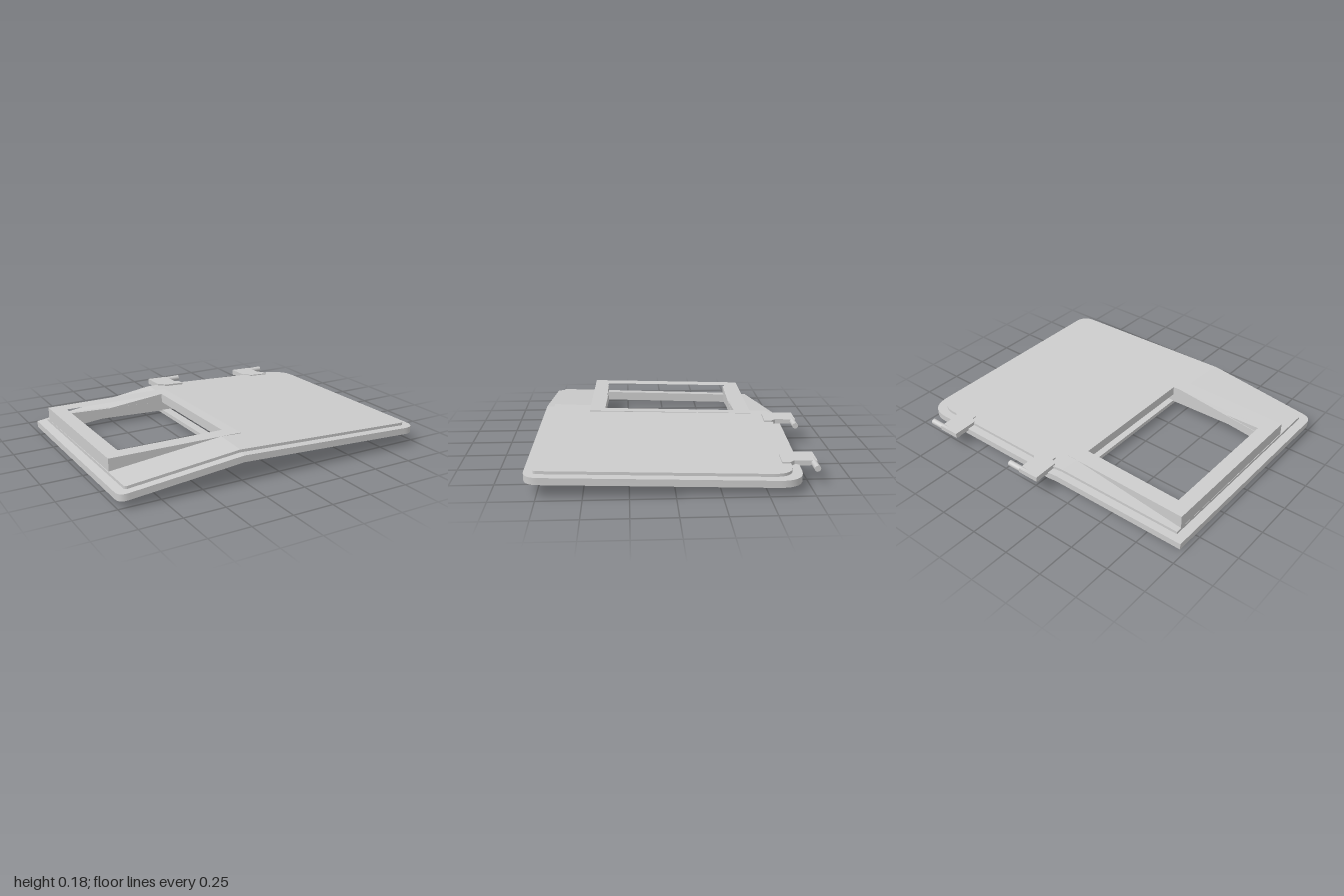
import * as THREE from 'three';
import { toCreasedNormals } from 'three/addons/utils/BufferGeometryUtils.js';

const TILT = 0.025; // the whole lid drops slightly toward the back

// Underside of the folded panel
const under = (x, z) => {
  const d = x + 0.197 + 0.0795 * z;
  return 0.11 + TILT * z + (d < 0 ? 0.108 : -0.037) * d;
};
const plus = (f, d) => (x, z) => f(x, z) + d;
const panelTop = plus(under, 0.057);
// Top of the level window frame and lower edge of the ribs
const frameTop = (x, z) => 0.167 + TILT * z;
const ribBottom = (x, z) => 0.0435 - 0.035 * x + TILT * z;

// Closed outline from [x, z, cornerRadius] points
function outline(points, path) {
  const n = points.length;
  const v = points.map(([x, z]) => new THREE.Vector2(x, -z));
  points.forEach(([, , r = 0], i) => {
    const p = v[i];
    const step = (q) => p.clone().add(q.clone().sub(p).setLength(r));
    const a = r ? step(v[(i + n - 1) % n]) : p;
    if (i === 0) path.moveTo(a.x, a.y);
    else path.lineTo(a.x, a.y);
    if (r) {
      const b = step(v[(i + 1) % n]);
      path.quadraticCurveTo(p.x, p.y, b.x, b.y);
    }
  });
  path.closePath();
  return path;
}

export function createModel() {
  const group = new THREE.Group();
  const grey = new THREE.MeshStandardMaterial({ color: 0xcccccc });
  grey.name = 'light grey';

  function add(name, geometry, parent = group) {
    const mesh = new THREE.Mesh(geometry, grey);
    mesh.name = name;
    parent.add(mesh);
    return mesh;
  }

  // Flat outline stretched between two height rules
  function slab(name, points, bottom, top, hole) {
    const shape = outline(points, new THREE.Shape());
    if (hole) shape.holes.push(outline(hole, new THREE.Path()));
    const g = new THREE.ExtrudeGeometry(shape, { depth: 1, bevelEnabled: false, curveSegments: 8 });
    g.rotateX(-Math.PI / 2);
    const p = g.attributes.position;
    for (let i = 0; i < p.count; i++) {
      const x = p.getX(i), z = p.getZ(i), t = p.getY(i);
      p.setY(i, t > 0.5 ? top(x, z) : bottom(x, z));
    }
    return add(name, toCreasedNormals(g, 0.5));
  }

  // Window corners, and where the fold crosses the window
  const [backRight, backLeft, frontLeft, frontRight] =
    [[-0.825, -0.465], [-0.155, -0.45], [-0.175, 0.4], [-0.84, 0.39]];
  const foldBack = [-0.1612, -0.4502], foldFront = [-0.2287, 0.3992];
  const rightNotch = [foldBack, backRight, frontRight, foldFront];
  const leftNotch = [foldFront, frontLeft, backLeft, foldBack];

  // Rim, in two halves that meet at the fold
  slab('rimRight', [[-0.97, -0.645], [-0.1398, -0.72], ...rightNotch, [-0.2598, 0.79], [-1, 0.77, 0.06]],
    under, plus(under, 0.04));
  slab('rimLeft', [[-0.1398, -0.72], [-0.08, -0.725], [1, -0.695, 0.15], [0.965, 0.82, 0.09],
    [-0.2598, 0.79], ...leftNotch], under, plus(under, 0.04));

  // Raised inner panel, split at the same fold
  const panelBottom = plus(under, 0.01);
  slab('panelRight', [[-0.915, -0.6], [-0.1437, -0.671], ...rightNotch, [-0.2556, 0.737], [-0.945, 0.72, 0.02]],
    panelBottom, panelTop);
  slab('panelLeft', [[-0.1437, -0.671], [-0.08, -0.677], [0.945, -0.645, 0.12], [0.913, 0.765, 0.02],
    [-0.2556, 0.737], ...leftNotch], panelBottom, panelTop);

  // Level frame around the window opening
  slab('windowFrame', [[-0.915, -0.563], [-0.085, -0.553], [-0.107, 0.5], [-0.935, 0.482]],
    plus(under, 0.015), frameTop, [backRight, backLeft, frontLeft, frontRight]);

  // Ribs below the panel, along the front and back of the window
  for (const [name, z] of [['frontRib', 0.404], ['backRib', -0.483]]) {
    slab(name, [[-0.9, z - 0.012], [0.54, z + 0.017], [0.54, z + 0.047], [-0.9, z + 0.018]],
      ribBottom, plus(ribBottom, 0.065));
  }
  // Cross bar hanging between the ribs
  slab('crossBar', [[-0.15, -0.54], [-0.09, -0.54], [-0.115, 0.5], [-0.175, 0.5]],
    plus(ribBottom, -0.02), plus(ribBottom, 0.005));

  // Two hinges on the back edge
  for (const [name, x, z] of [['innerHinge', 0, 0], ['outerHinge', 0.7, 0.015]]) {
    const hinge = new THREE.Group();
    hinge.name = name;
    const arm = slab('hingeArm', [[-0.08, -0.82], [0.06, -0.82], [0.06, -0.69], [0.09, -0.66],
      [0.09, -0.615], [-0.045, -0.62], [-0.045, -0.645], [-0.08, -0.66]],
      () => 0.122, (px, pz) => 0.157 - 0.03 * px + 0.03 * (pz + 0.62));
    hinge.add(arm);
    const pin = add('hingePin', new THREE.CylinderGeometry(0.018, 0.018, 0.23, 16), hinge);
    pin.rotation.z = Math.PI / 2;
    pin.position.set(0.035, 0.134, -0.802);
    hinge.position.set(x, -0.03 * x / 0.7, z);
    group.add(hinge);
  }
  return group;
}
